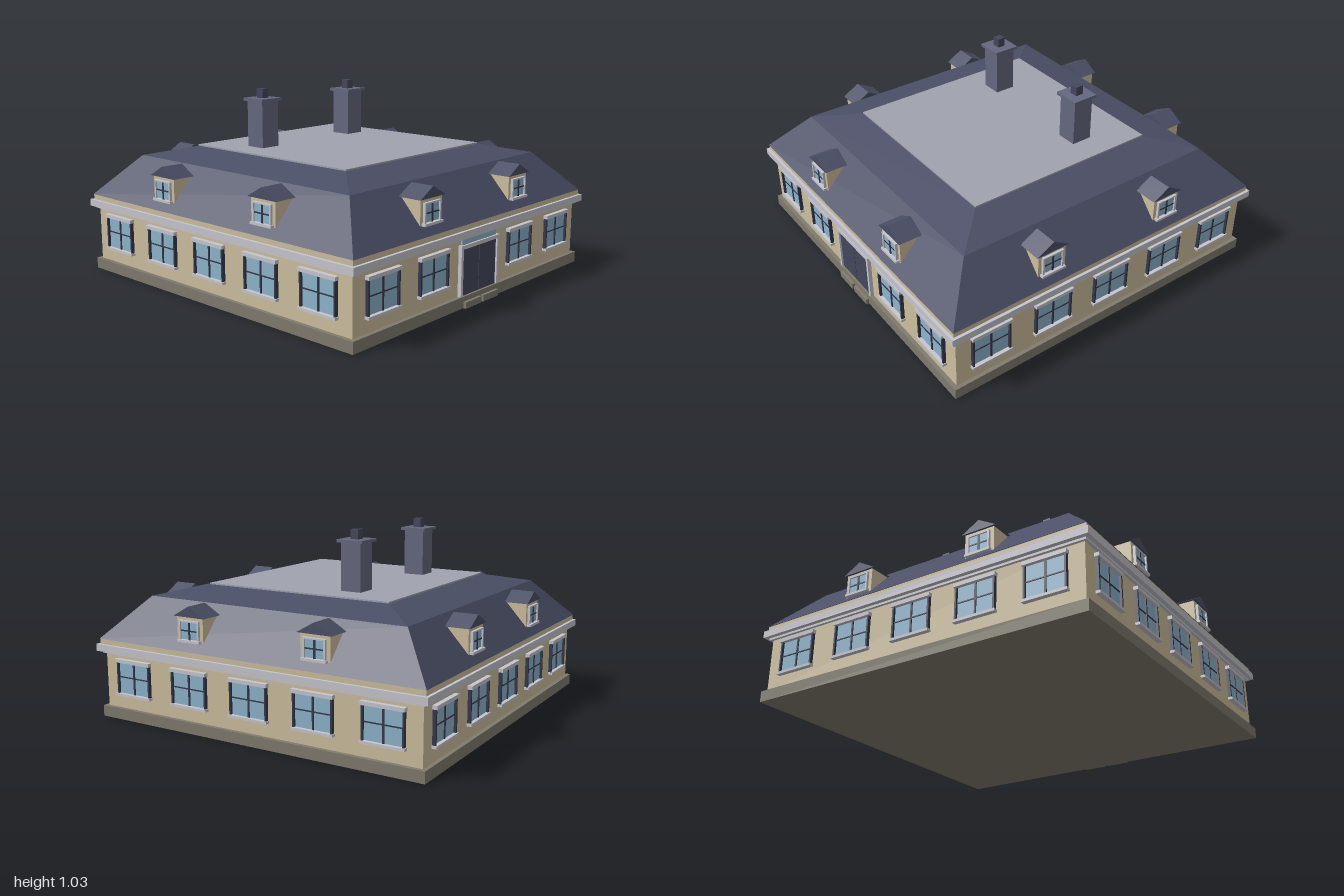
import * as THREE from 'three';

function material(name, color) {
  const m = new THREE.MeshStandardMaterial({ color });
  m.name = name;
  return m;
}

const stone = material('sandstone', 0xcdbf9f);
const plinthStone = material('plinth stone', 0x807b6e);
const trim = material('pale trim', 0xc6c6ce);
const slate = material('slate', 0x4b4f66);
const lead = material('roof lead', 0xa0a3af);
const glass = material('glass', 0x8eb4cd);
const dark = material('dark joinery', 0x44475c);
const frame = material('window frame', 0x35384a);
const brick = material('chimney brick', 0x65687f);

function add(parent, name, geometry, mat) {
  const mesh = new THREE.Mesh(geometry, mat);
  mesh.name = name;
  parent.add(mesh);
  return mesh;
}

// Box given by its min and max on each axis
function box(parent, name, mat, x0, x1, y0, y1, z0, z1) {
  const mesh = add(parent, name, new THREE.BoxGeometry(x1 - x0, y1 - y0, z1 - z0), mat);
  mesh.position.set((x0 + x1) / 2, (y0 + y1) / 2, (z0 + z1) / 2);
  return mesh;
}

// Square storey layer centred on the origin
const layer = (parent, name, mat, half, y0, y1) =>
  box(parent, name, mat, -half, half, y0, y1, -half, half);

// Square roof tier that narrows from one half width to another
function roofTier(parent, name, bottom, top, y0, y1) {
  let g = new THREE.CylinderGeometry(top * Math.SQRT2, bottom * Math.SQRT2, y1 - y0, 4);
  g.rotateY(Math.PI / 4);
  g = g.toNonIndexed();
  g.computeVertexNormals();
  add(parent, name, g, slate).position.y = (y0 + y1) / 2;
}

// Ground floor window on a +z wall
function makeWindow(x) {
  const g = new THREE.Group();
  g.name = 'window';
  g.position.x = x;
  box(g, 'pane', glass, -0.107, 0.107, 0.145, 0.315, 0.955, 0.965);
  for (const s of [-1, 1]) box(g, 'jamb', frame, s * 0.108 - 0.005, s * 0.108 + 0.005, 0.145, 0.315, 0.95, 0.978);
  box(g, 'mullion', frame, -0.005, 0.005, 0.145, 0.315, 0.96, 0.97);
  box(g, 'transom', frame, -0.105, 0.105, 0.231, 0.237, 0.96, 0.969);
  box(g, 'lintel', trim, -0.118, 0.118, 0.315, 0.334, 0.95, 0.985);
  box(g, 'sill', trim, -0.118, 0.118, 0.131, 0.145, 0.95, 0.985);
  return g;
}

// Gabled dormer facing +z
function makeDormer(x) {
  const g = new THREE.Group();
  g.name = 'dormer';
  g.position.x = x;
  box(g, 'dormerBody', stone, -0.084, 0.084, 0.475, 0.61, 0.81, 0.944);
  const gable = new THREE.Shape([
    new THREE.Vector2(-0.099, 0.606),
    new THREE.Vector2(0.099, 0.606),
    new THREE.Vector2(0, 0.662),
  ]);
  const roof = new THREE.ExtrudeGeometry(gable, { depth: 0.132, bevelEnabled: false });
  add(g, 'dormerRoof', roof, slate).position.z = 0.823;
  box(g, 'dormerPane', glass, -0.056, 0.056, 0.49, 0.582, 0.942, 0.95);
  for (const s of [-1, 1]) {
    box(g, 'dormerFrameSide', trim, s * 0.059 - 0.005, s * 0.059 + 0.005, 0.485, 0.587, 0.94, 0.958);
  }
  box(g, 'dormerFrameTop', trim, -0.064, 0.064, 0.58, 0.588, 0.94, 0.958);
  box(g, 'dormerSill', trim, -0.072, 0.072, 0.475, 0.488, 0.94, 0.966);
  box(g, 'dormerMullion', frame, -0.005, 0.005, 0.488, 0.58, 0.946, 0.954);
  box(g, 'dormerTransom', frame, -0.054, 0.054, 0.531, 0.538, 0.946, 0.953);
  return g;
}

// Double entrance door with surround, fanlight and steps
function makeEntrance() {
  const g = new THREE.Group();
  g.name = 'entrance';
  for (const s of [-1, 1]) {
    box(g, 'doorJamb', trim, s * 0.159 - 0.009, s * 0.159 + 0.009, 0.06, 0.325, 0.95, 0.98);
    box(g, 'doorLeaf', dark, s * 0.076 - 0.074, s * 0.076 + 0.074, 0.06, 0.305, 0.95, 0.97);
    box(g, 'step', plinthStone, s * 0.077 - 0.068, s * 0.077 + 0.068, 0, 0.034, 0.97, 0.998);
  }
  box(g, 'doorGap', frame, -0.003, 0.003, 0.06, 0.305, 0.95, 0.967);
  box(g, 'doorHeader', trim, -0.168, 0.168, 0.305, 0.325, 0.95, 0.98);
  box(g, 'fanlight', glass, -0.15, 0.15, 0.325, 0.355, 0.955, 0.97);
  return g;
}

export function createModel() {
  const house = new THREE.Group();
  house.name = 'house';

  // Walls and cornice
  layer(house, 'plinth', plinthStone, 0.982, 0, 0.06);
  layer(house, 'walls', stone, 0.96, 0.06, 0.36);
  layer(house, 'lowerCornice', trim, 0.975, 0.354, 0.368);
  layer(house, 'cornice', trim, 0.998, 0.366, 0.404);
  layer(house, 'frieze', stone, 0.982, 0.404, 0.432);

  // Mansard roof with a flat lead top
  roofTier(house, 'lowerRoof', 0.985, 0.782, 0.432, 0.655);
  roofTier(house, 'upperRoof', 0.782, 0.56, 0.655, 0.706);
  layer(house, 'flatRoof', lead, 0.56, 0.704, 0.714);

  // Four sides: windows and dormers, with the entrance at the front
  ['front', 'left', 'back', 'right'].forEach((name, i) => {
    const side = new THREE.Group();
    side.name = name + 'Side';
    side.rotation.y = i * Math.PI / 2;
    for (const x of [-0.76, -0.38, 0, 0.38, 0.76]) {
      side.add(i === 0 && x === 0 ? makeEntrance() : makeWindow(x));
    }
    for (const x of [-0.38, 0.38]) side.add(makeDormer(x));
    house.add(side);
  });

  // Chimneys
  for (const x of [-0.35, 0.35]) {
    const chimney = new THREE.Group();
    chimney.name = 'chimney';
    chimney.position.set(x, 0, -0.25);
    layer(chimney, 'chimneyStack', brick, 0.059, 0.7, 0.97);
    layer(chimney, 'chimneyCap', brick, 0.075, 0.968, 0.984);
    layer(chimney, 'chimneyPot', dark, 0.023, 0.984, 1.035);
    house.add(chimney);
  }
  return house;
}
